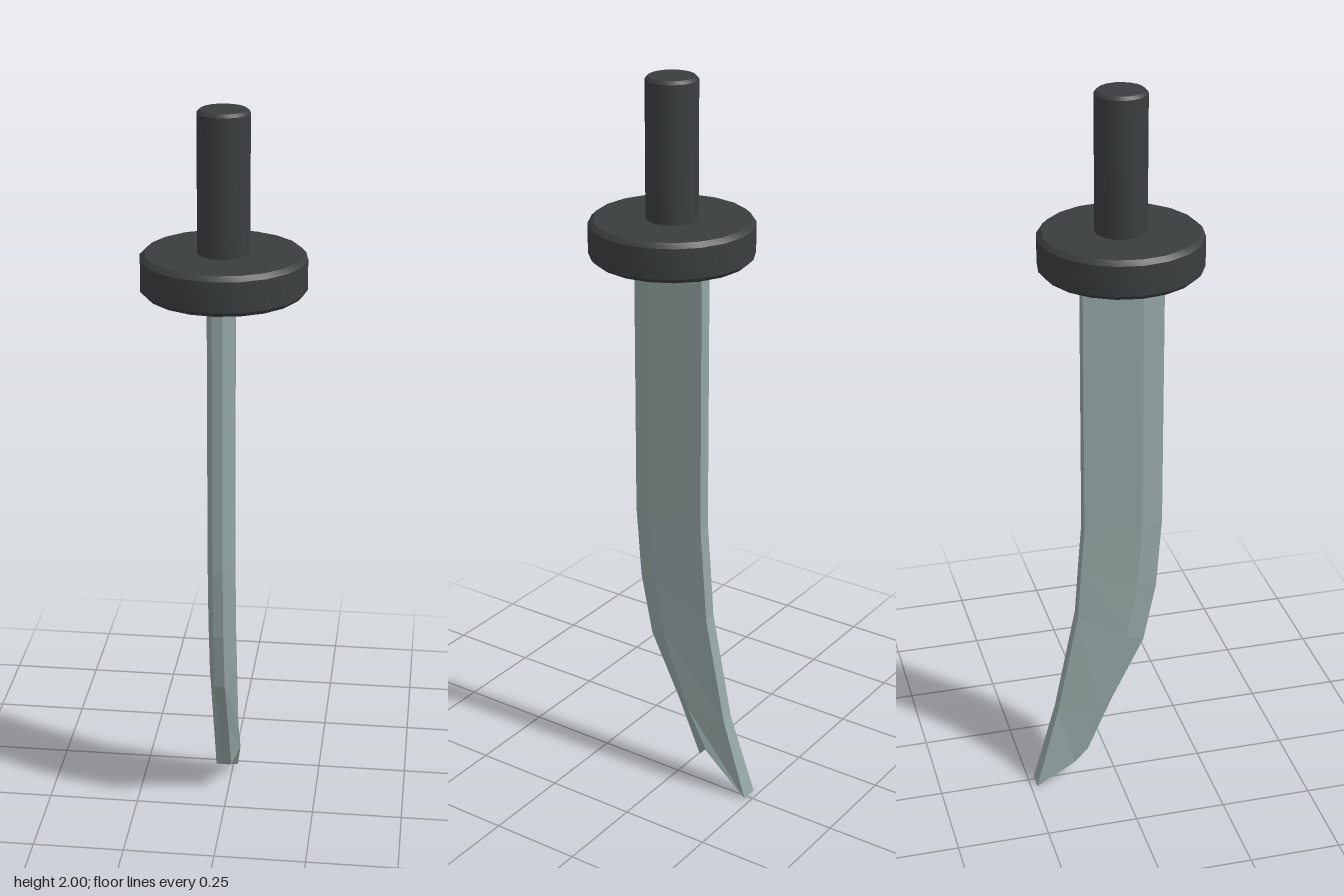
import * as THREE from 'three';
import { toCreasedNormals } from 'three/addons/utils/BufferGeometryUtils.js';

const dark = new THREE.MeshStandardMaterial({ color: 0x3a3e3f });
const steel = new THREE.MeshStandardMaterial({ color: 0x93a5a3, flatShading: true });
const AXIS_Z = 0.0185;

// Turned disc or cylinder with a small chamfer on its rims
function turned(name, radius, y0, y1, bevel) {
  const points = [
    [0, y0], [radius - bevel, y0], [radius, y0 + bevel],
    [radius, y1 - bevel], [radius - bevel, y1], [0, y1],
  ].map(([r, y]) => new THREE.Vector2(r, y));
  const mesh = new THREE.Mesh(toCreasedNormals(new THREE.LatheGeometry(points, 20), 0.6), dark);
  mesh.name = name;
  mesh.position.z = AXIS_Z;
  return mesh;
}

// Six-sided blade lofted from the guard down to the curved tip
function createBlade() {
  // Each section: front edge z, y and back edge z, y
  const sections = [
    [0.13, 1.6, -0.085, 1.6],
    [0.13, 0.8, -0.085, 0.8],
    [0.115, 0.6, -0.095, 0.67],
    [0.08, 0.43, -0.105, 0.53],
    [-0.01, 0.25, -0.165, 0.23],
    [-0.08, 0.09, -0.232, 0],
  ];
  // Cross-section corners: x and the fraction of the way from front to back
  const outline = [[-0.017, 0], [0.01, 0], [0.033, 0.28], [0.02, 1], [-0.016, 1], [-0.037, 0.28]];
  const rings = sections.map(([zf, yf, zb, yb]) => outline.map(([x, t]) =>
    [x, THREE.MathUtils.lerp(yf, yb, t), THREE.MathUtils.lerp(zf, zb, t)]));

  // The tip leans to one side
  const tip = rings[rings.length - 1];
  tip[2] = [0.033, 0.13, -0.115];
  tip[3][0] = 0.013;
  tip[4][0] = -0.035;

  const n = outline.length;
  const index = [];
  for (let i = 0; i < rings.length - 1; i++) {
    for (let j = 0; j < n; j++) {
      const a = i * n + j, b = i * n + (j + 1) % n;
      index.push(a, a + n, b + n, a, b + n, b);
    }
  }
  // End caps
  const last = (rings.length - 1) * n;
  for (let k = 1; k < n - 1; k++) {
    index.push(0, k, k + 1, last, last + k + 1, last + k);
  }

  const geometry = new THREE.BufferGeometry();
  geometry.setAttribute('position', new THREE.Float32BufferAttribute(rings.flat(2), 3));
  geometry.setIndex(index);
  const flat = geometry.toNonIndexed();
  flat.computeVertexNormals();
  const mesh = new THREE.Mesh(flat, steel);
  mesh.name = 'blade';
  return mesh;
}

export function createModel() {
  const group = new THREE.Group();
  group.name = 'sword';
  group.add(
    createBlade(),
    turned('guard', 0.213, 1.535, 1.638, 0.012),
    turned('handle', 0.067, 1.6, 2, 0.008),
  );
  return group;
}
